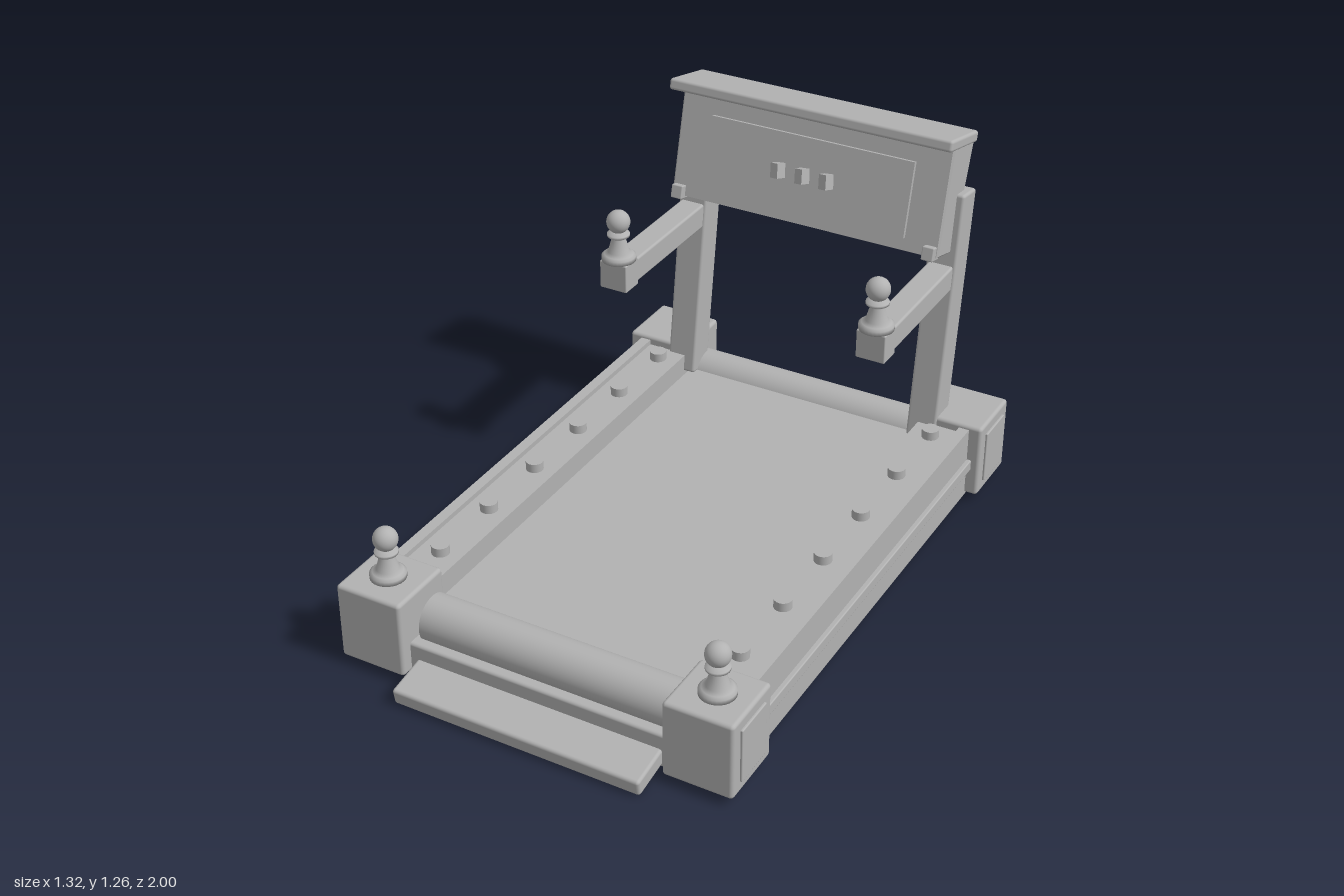
import * as THREE from 'three';
import { RoundedBoxGeometry } from 'three/addons/geometries/RoundedBoxGeometry.js';

export function createModel() {
  const root = new THREE.Group();
  root.name = 'treadmill';
  const grey = new THREE.MeshStandardMaterial({ color: 0xb2b2b2 });
  grey.name = 'stone grey';

  function add(name, geometry, x, y, z, rx = 0, parent = root) {
    const mesh = new THREE.Mesh(geometry, grey);
    mesh.name = name;
    mesh.position.set(x, y, z);
    mesh.rotation.x = rx;
    parent.add(mesh);
    return mesh;
  }
  const box = (w, h, d, r = 0.008) => new RoundedBoxGeometry(w, h, d, 2, r);

  // Base slab, belt and tilted front step
  add('base', box(1.22, 0.115, 1.825, 0.01), 0, 0.0725, -0.0425);
  add('belt', new THREE.BoxGeometry(0.84, 0.02, 1.6), 0, 0.19, -0.04);
  add('frontStep', box(0.82, 0.055, 0.16, 0.01), 0, 0.043, 0.918, 0.17);

  // Rollers with their axles
  for (const z of [0.77, -0.85]) {
    const roller = new THREE.CylinderGeometry(0.075, 0.075, 0.83, 40).rotateZ(Math.PI / 2);
    add('roller', roller, 0, 0.165, z);
    const axle = new THREE.CylinderGeometry(0.012, 0.012, 0.9, 16).rotateZ(Math.PI / 2);
    add('axle', axle, 0, 0.188, z);
  }

  // Turned finial: stepped foot, waisted neck, collar and ball
  const profile = [[0, 0], [0.055, 0], [0.055, 0.015], [0.046, 0.022], [0.034, 0.03],
    [0.022, 0.074], [0.022, 0.079], [0.036, 0.084], [0.036, 0.092], [0.02, 0.1], [0, 0.104]]
    .map(([r, y]) => new THREE.Vector2(r, y));
  function finial(x, y, z) {
    const group = new THREE.Group();
    group.name = 'finial';
    group.position.set(x, y, z);
    add('finialStem', new THREE.LatheGeometry(profile, 28), 0, 0, 0, 0, group);
    add('finialBall', new THREE.SphereGeometry(0.038, 24, 16), 0, 0.132, 0, 0, group);
    root.add(group);
  }

  for (const s of [1, -1]) {
    // Side rail with raised lip, side moulding and studs
    add('sideRail', new THREE.BoxGeometry(0.175, 0.145, 1.5), s * 0.5225, 0.1825, -0.04);
    add('railLip', new THREE.BoxGeometry(0.035, 0.06, 1.5), s * 0.5925, 0.242, -0.04);
    add('sideMoulding', box(0.04, 0.038, 1.5, 0.004), s * 0.605, 0.141, -0.04);
    for (let i = 0; i < 6; i++) {
      add('stud', new THREE.CylinderGeometry(0.028, 0.028, 0.04, 20), s * 0.505, 0.265, 0.595 - i * 0.26);
    }

    // Corner posts with outer panels
    for (const z of [0.8, -0.885]) {
      add('cornerPost', box(0.222, 0.255, 0.222, 0.012), s * 0.542, 0.1575, z);
      add('postPanel', box(0.02, 0.18, 0.14, 0.004), s * 0.65, 0.158, z);
    }
    finial(s * 0.545, 0.285, 0.8);

    // Leaning upright, hand rail and its end block
    add('upright', box(0.102, 0.85, 0.1, 0.01), s * 0.447, 0.612, -0.865, -0.136);
    add('handRail', box(0.085, 0.083, 0.48), s * 0.447, 0.763, -0.605);
    add('handRailEnd', box(0.096, 0.095, 0.077, 0.004), s * 0.447, 0.765, -0.363);
    finial(s * 0.447, 0.812, -0.363);
  }

  // Console: wedge section in the z-y plane, extruded across
  const section = new THREE.Shape([[-0.748, 0.872], [-0.834, 1.222], [-0.989, 1.185], [-0.868, 0.84]]
    .map(([z, y]) => new THREE.Vector2(z, y)));
  const wedge = new THREE.ExtrudeGeometry(section, {
    depth: 0.934, bevelEnabled: true, bevelSize: 0.006, bevelThickness: 0.006, bevelOffset: -0.006, bevelSegments: 1,
  });
  add('console', wedge.translate(0, 0, -0.467).rotateY(-Math.PI / 2), 0, 0, 0);
  add('consoleCap', box(0.98, 0.038, 0.215, 0.01), 0, 1.225, -0.868, -0.22);

  // Display panel, buttons and lower brackets on the sloping face
  const face = new THREE.Group();
  face.name = 'consoleFace';
  face.position.set(0, 1.03, -0.788);
  face.rotation.x = -0.241;
  root.add(face);
  add('displayPanel', new THREE.BoxGeometry(0.71, 0.243, 0.03), 0, 0, 0, 0, face);
  for (const x of [-0.093, -0.007, 0.077]) {
    const button = add('button', new THREE.BoxGeometry(0.03, 0.048, 0.045), x, 0, 0.024, 0, face);
    button.rotation.set(0, -0.3, 0.1);
  }
  for (const s of [1, -1]) {
    add('consoleBracket', box(0.04, 0.045, 0.05, 0.004), s * 0.445, -0.15, 0, 0, face);
  }
  return root;
}
